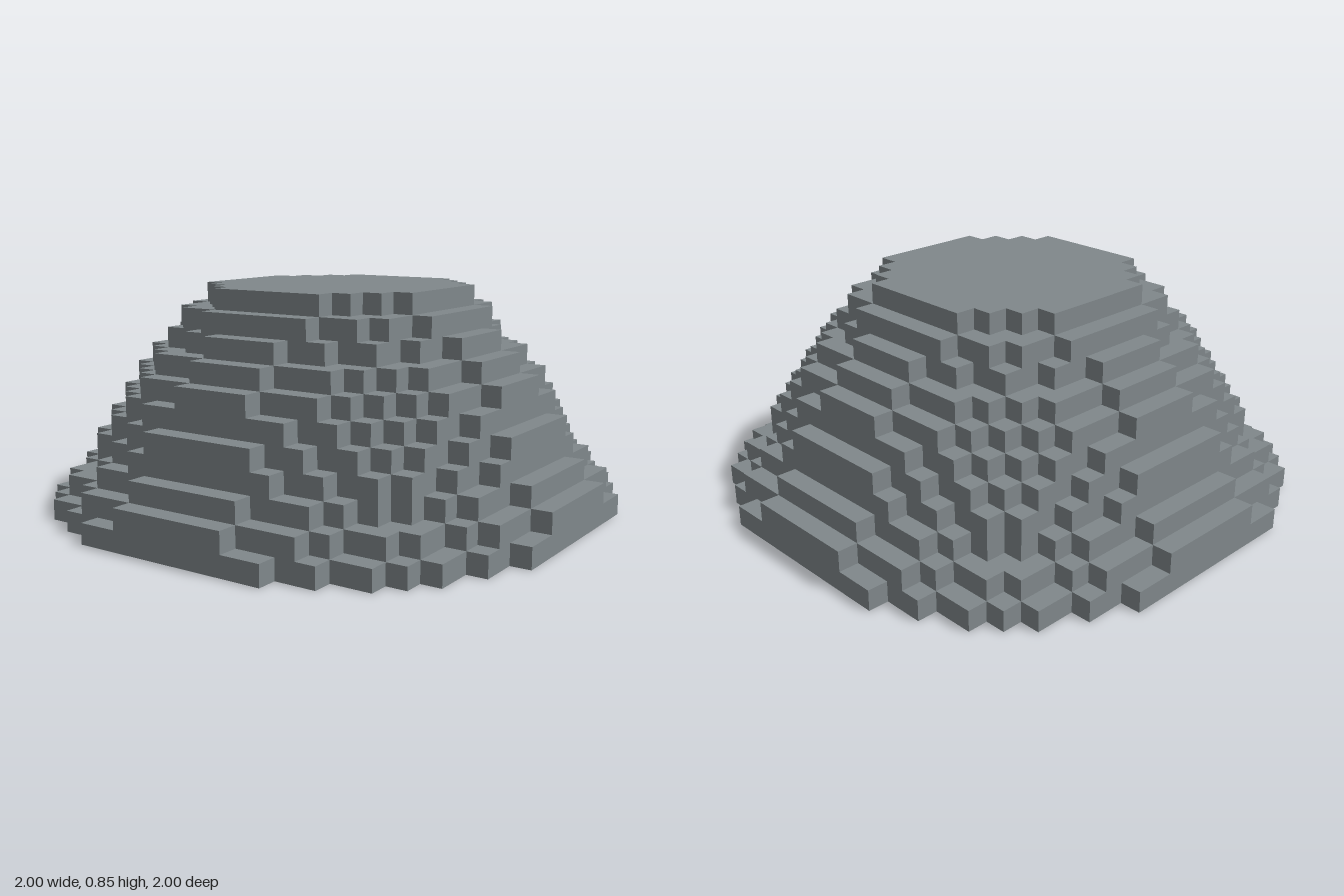
import * as THREE from 'three';

const CELL = 2 / 26; // edge length of one block
const HALF = 13; // widest half extent, in blocks

// Squared radius, in blocks, of each stacked layer from the ground up
const LAYERS = [184, 164, 142, 129, 118, 106, 94, 77, 61, 51, 38];

// Half width of a blocky disc in the given row of cells
function halfWidth(radiusSq, row) {
  const left = radiusSq - (row + 0.5) ** 2;
  return left < 0.25 ? 0 : Math.min(HALF, Math.floor(Math.sqrt(left) + 0.5));
}

// Stepped outline of a blocky disc, running counter-clockwise
function discShape(radiusSq) {
  const widths = [];
  for (let row = 0; row < HALF; row++) {
    const w = halfWidth(radiusSq, row);
    if (w > 0) widths.push(w);
  }
  const n = widths.length;
  const right = [];
  for (let r = -n; r < n; r++) {
    const w = widths[r >= 0 ? r : -r - 1];
    // Extend a straight run instead of adding a point to it
    if (right.length && right[right.length - 1].x === w) right[right.length - 1].y = r + 1;
    else right.push(new THREE.Vector2(w, r), new THREE.Vector2(w, r + 1));
  }
  const left = right.map((p) => new THREE.Vector2(-p.x, p.y)).reverse();
  return new THREE.Shape([...right, ...left].map((p) => p.multiplyScalar(CELL)));
}

export function createModel() {
  const model = new THREE.Group();
  model.name = 'blockyMound';
  const stone = new THREE.MeshStandardMaterial({ color: 0x80888b });
  stone.name = 'stone grey';

  // One flat slab per layer, stacked into a flat-topped dome
  LAYERS.forEach((radiusSq, i) => {
    const geometry = new THREE.ExtrudeGeometry(discShape(radiusSq), { depth: CELL, bevelEnabled: false });
    geometry.rotateX(-Math.PI / 2);
    const slab = new THREE.Mesh(geometry, stone);
    slab.name = `stoneLayer${i + 1}`;
    slab.position.y = i * CELL;
    model.add(slab);
  });
  return model;
}
